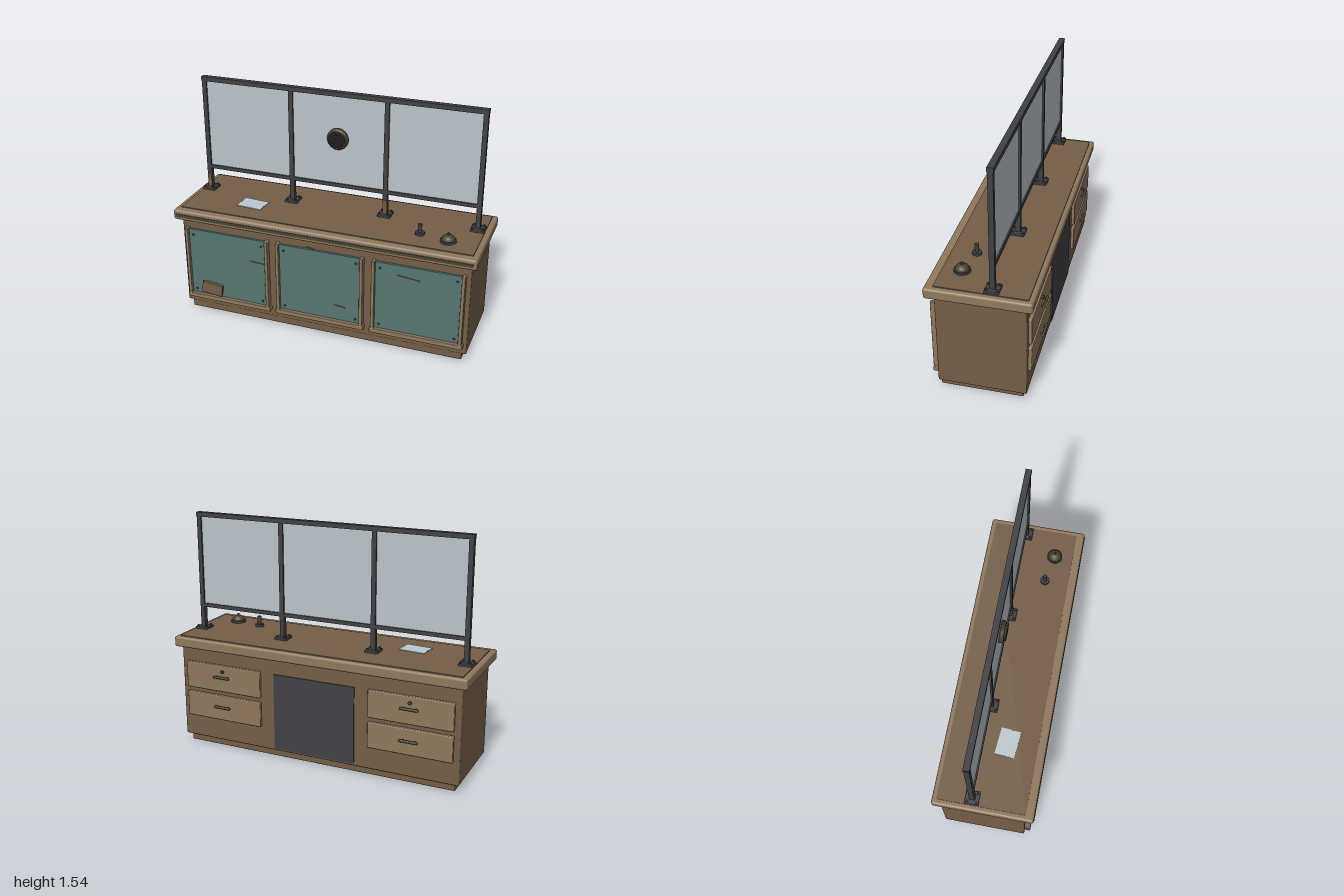
import * as THREE from 'three';
import { RoundedBoxGeometry } from 'three/addons/geometries/RoundedBoxGeometry.js';

const mat = (name, color) => {
  const m = new THREE.MeshStandardMaterial({ color });
  m.name = name;
  return m;
};

export function createModel() {
  const root = new THREE.Group();
  root.name = 'serviceCounter';
  const wood = mat('brown wood', 0x745e48);
  const trim = mat('light wood trim', 0x8f785d);
  const teal = mat('teal panel', 0x557571);
  const glass = mat('pale glass', 0xb9c4c9);
  const metal = mat('dark metal', 0x404144);
  const brass = mat('aged brass', 0x49432f);
  const rust = mat('rust', 0x765741);
  const paperMat = mat('paper', 0xbcc8d0);

  const add = (name, geo, m, x, y, z, parent = root) => {
    const mesh = new THREE.Mesh(geo, m);
    mesh.name = name;
    mesh.position.set(x, y, z);
    parent.add(mesh);
    return mesh;
  };
  // Box given by its extents, with optional rounded edges
  const box = (name, m, x0, x1, y0, y1, z0, z1, r = 0) => {
    const s = [x1 - x0, y1 - y0, z1 - z0];
    const geo = r ? new RoundedBoxGeometry(...s, 2, r) : new THREE.BoxGeometry(...s);
    return add(name, geo, m, (x0 + x1) / 2, (y0 + y1) / 2, (z0 + z1) / 2);
  };
  const disc = (name, m, r, h, x, y, z, alongZ = false, sides = 16) => {
    const mesh = add(name, new THREE.CylinderGeometry(r, r, h, sides), m, x, y, z);
    if (alongZ) mesh.rotation.x = Math.PI / 2;
    return mesh;
  };

  // Cabinet and worktop
  box('plinth', wood, -0.935, 0.935, 0, 0.06, -0.252, 0.258, 0.006);
  box('cabinet', wood, -0.965, 0.965, 0.05, 0.69, -0.278, 0.266, 0.008);
  box('worktop', trim, -1, 1, 0.675, 0.744, -0.318, 0.32, 0.014);
  box('worktopInlay', wood, -0.967, 0.967, 0.735, 0.75, -0.29, 0.268);
  box('frontStrip', brass, -0.982, 0.982, 0.697, 0.718, 0.31, 0.324);

  // Three framed front panels
  for (const x of [-0.643, 0, 0.643]) {
    box('frontPanel', teal, x - 0.278, x + 0.278, 0.122, 0.602, 0.262, 0.281);
    for (const s of [-1, 1]) {
      const sx = x + s * 0.283;
      box('panelStile', trim, sx - 0.011, sx + 0.011, 0.12, 0.61, 0.262, 0.302, 0.004);
      for (const y of [0.157, 0.562])
        disc('panelBolt', metal, 0.008, 0.01, x + s * 0.243, y, 0.283, true, 8);
    }
    box('bottomRail', trim, x - 0.302, x + 0.302, 0.098, 0.13, 0.262, 0.303, 0.005);
  }

  // Scratches and a patch on the panels
  for (const [x, y, len, a] of [[-0.43, 0.438, 0.105, -0.05], [-0.07, 0.608, 0.055, -0.12],
    [0.137, 0.232, 0.075, -0.1], [0.583, 0.526, 0.145, -0.1]]) {
    const z = y > 0.602 ? 0.268 : 0.2825;
    add('scratch', new THREE.BoxGeometry(len, 0.006, 0.006), rust, x, y, z).rotation.z = a;
  }
  add('patch', new THREE.BoxGeometry(0.145, 0.08, 0.009), wood, -0.757, 0.19, 0.304).rotation.z = -0.11;
  add('patchBacking', new THREE.BoxGeometry(0.135, 0.07, 0.025), wood, -0.757, 0.19, 0.29).rotation.z = -0.11;

  // Back: knee space cover and two stacks of drawers
  box('kneeSpace', metal, -0.28, 0.28, 0.065, 0.575, -0.285, -0.27);
  for (const s of [-1, 1]) {
    const x = s * 0.65;
    for (const [y0, y1, hy] of [[0.2, 0.37, 0.296], [0.4, 0.58, 0.504]]) {
      box('drawer', trim, x - 0.275, x + 0.275, y0, y1, -0.299, -0.27, 0.006);
      const bar = add('drawerHandle', new THREE.CapsuleGeometry(0.009, 0.105, 4, 10), brass, x, hy, -0.318);
      bar.rotation.z = Math.PI / 2;
      for (const k of [-0.04, 0.04])
        disc('handleStandoff', brass, 0.006, 0.025, x + k, hy, -0.307, true, 8);
    }
    disc('drawerLock', brass, 0.012, 0.012, x, 0.54, -0.302, true, 12);
  }

  // Glass screen: posts, feet, rails and panes
  const zs = -0.072, posts = [-0.92, -0.318, 0.318, 0.92];
  posts.forEach((x, i) => {
    box('post', metal, x - 0.015, x + 0.015, 0.755, 1.515, zs - 0.016, zs + 0.016);
    box('postFoot', metal, x - 0.043, x + 0.043, 0.748, 0.764, zs - 0.044, zs + 0.044, 0.003);
    for (const sx of [-1, 1]) for (const sz of [-1, 1])
      disc('footBolt', metal, 0.008, 0.012, x + sx * 0.03, 0.768, zs + sz * 0.03, false, 6);
    if (i % 2 === 0)
      box('rustPatch', rust, x - 0.013, x + 0.013, 0.768, 0.86, zs + 0.014, zs + 0.02);
    if (i === 3) return;
    const a = x + 0.015, b = posts[i + 1] - 0.015;
    box('bottomScreenRail', metal, a, b, 0.9, 0.925, zs - 0.014, zs + 0.014);
    box('glassPane', glass, a, b, 0.92, 1.51, zs - 0.005, zs + 0.005);
  });
  box('topScreenRail', metal, -0.937, 0.937, 1.508, 1.537, zs - 0.019, zs + 0.019);

  // Speaking grille in the middle pane
  const rim = [[0, -0.002], [0.07, -0.002], [0.07, 0.014], [0.06, 0.026], [0.054, 0.026], [0.052, 0.02], [0, 0.02]]
    .map(p => new THREE.Vector2(...p));
  add('grilleBody', new THREE.LatheGeometry(rim, 28), brass, 0, 1.23, zs + 0.006).rotation.x = Math.PI / 2;
  for (let k = -4; k <= 4; k++) {
    const y = k * 0.0115, half = Math.sqrt(0.053 ** 2 - y * y);
    box('grilleSlat', metal, -half, half, 1.227 + y, 1.233 + y, zs + 0.02, zs + 0.044);
  }

  // Desk bell
  const bx = 0.785, bz = 0.147;
  disc('bellBase', metal, 0.05, 0.014, bx, 0.757, bz, false, 24);
  const dome = [[0.042, 0], [0.041, 0.008], [0.035, 0.02], [0.022, 0.03], [0, 0.034]].map(p => new THREE.Vector2(...p));
  add('bellDome', new THREE.LatheGeometry(dome, 24), brass, bx, 0.764, bz);
  disc('bellButton', brass, 0.008, 0.014, bx, 0.802, bz, false, 12);

  // Hand stamp
  disc('stampBase', metal, 0.03, 0.016, 0.598, 0.758, 0.112, false, 20);
  disc('stampHandle', metal, 0.013, 0.056, 0.598, 0.792, 0.112);

  // Paper sheet with worn edges
  const outline = [[-0.087, -0.063], [0.087, -0.063], [0.087, -0.02], [0.082, -0.012], [0.088, 0], [0.087, 0.063],
    [-0.087, 0.063], [-0.087, 0.012], [-0.08, 0.004], [-0.087, -0.004]].map(p => new THREE.Vector2(...p));
  const sheet = new THREE.ExtrudeGeometry(new THREE.Shape(outline), { depth: 0.004, bevelEnabled: false });
  sheet.rotateX(-Math.PI / 2);
  add('paperSheet', sheet, paperMat, -0.542, 0.751, 0.077).rotation.y = -0.08;

  return root;
}
